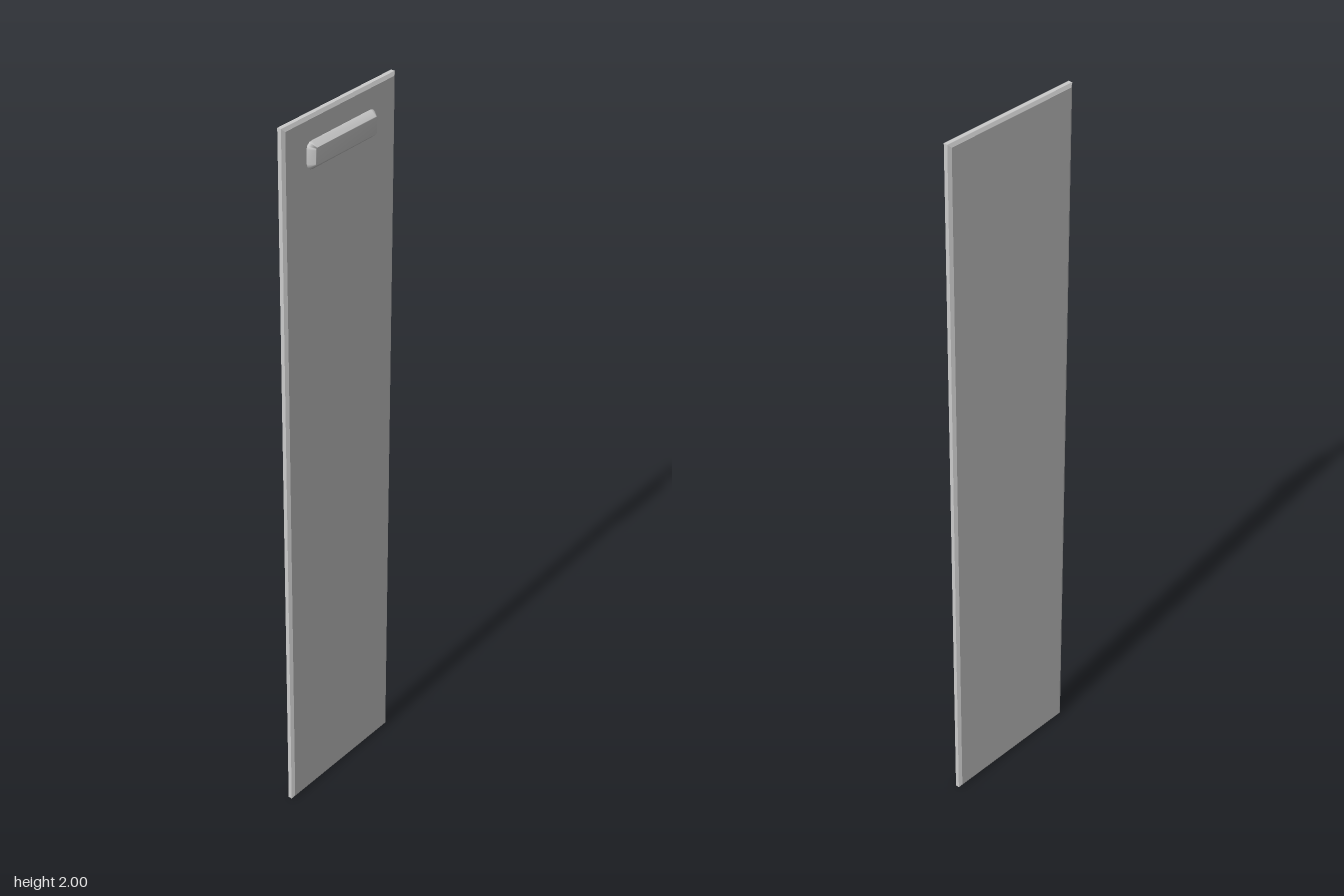
import * as THREE from 'three';
import { mergeVertices } from 'three/addons/utils/BufferGeometryUtils.js';

const material = new THREE.MeshStandardMaterial({ color: 0xcccccc });

// Rectangle outline centred on the origin, with optional rounded corners
function outline(w, h, r = 0) {
  const x = w / 2, y = h / 2;
  const s = new THREE.Shape();
  if (r === 0) {
    s.moveTo(-x, -y).lineTo(x, -y).lineTo(x, y).lineTo(-x, y);
  } else {
    s.moveTo(-x + r, -y).lineTo(x - r, -y).quadraticCurveTo(x, -y, x, -y + r);
    s.lineTo(x, y - r).quadraticCurveTo(x, y, x - r, y);
    s.lineTo(-x + r, y).quadraticCurveTo(-x, y, -x, y - r);
    s.lineTo(-x, -y + r).quadraticCurveTo(-x, -y, -x + r, -y);
  }
  return s;
}

// Bevelled slab of full size w x h, spanning zBack to zFront
function slab(w, h, zBack, zFront, bevelSize, bevelThickness, r) {
  const geometry = new THREE.ExtrudeGeometry(outline(w - 2 * bevelSize, h - 2 * bevelSize, r), {
    depth: zFront - zBack - 2 * bevelThickness,
    bevelEnabled: true, bevelSegments: 1, bevelSize, bevelThickness, curveSegments: 3,
  });
  return geometry.translate(0, 0, zBack + bevelThickness);
}

// Weld the corners so the shading runs smoothly over the bevels
function smooth(geometry) {
  geometry.deleteAttribute('normal');
  geometry.deleteAttribute('uv');
  const welded = mergeVertices(geometry, 1e-5);
  welded.computeVertexNormals();
  return welded;
}

export function createModel() {
  const group = new THREE.Group();
  group.name = 'doorPanel';

  // Tall thin panel with chamfered edges
  const panel = new THREE.Mesh(slab(0.412, 2, -0.02, 0.001, 0.009, 0.005), material);
  panel.name = 'panel';
  panel.position.y = 1;

  // Low soft-edged handle near the top, its back sunk into the panel
  const handle = new THREE.Mesh(smooth(slab(0.248, 0.07, -0.014, 0.019, 0.012, 0.014, 0.006)), material);
  handle.name = 'handle';
  handle.position.y = 1.902;

  group.add(panel, handle);
  return group;
}
